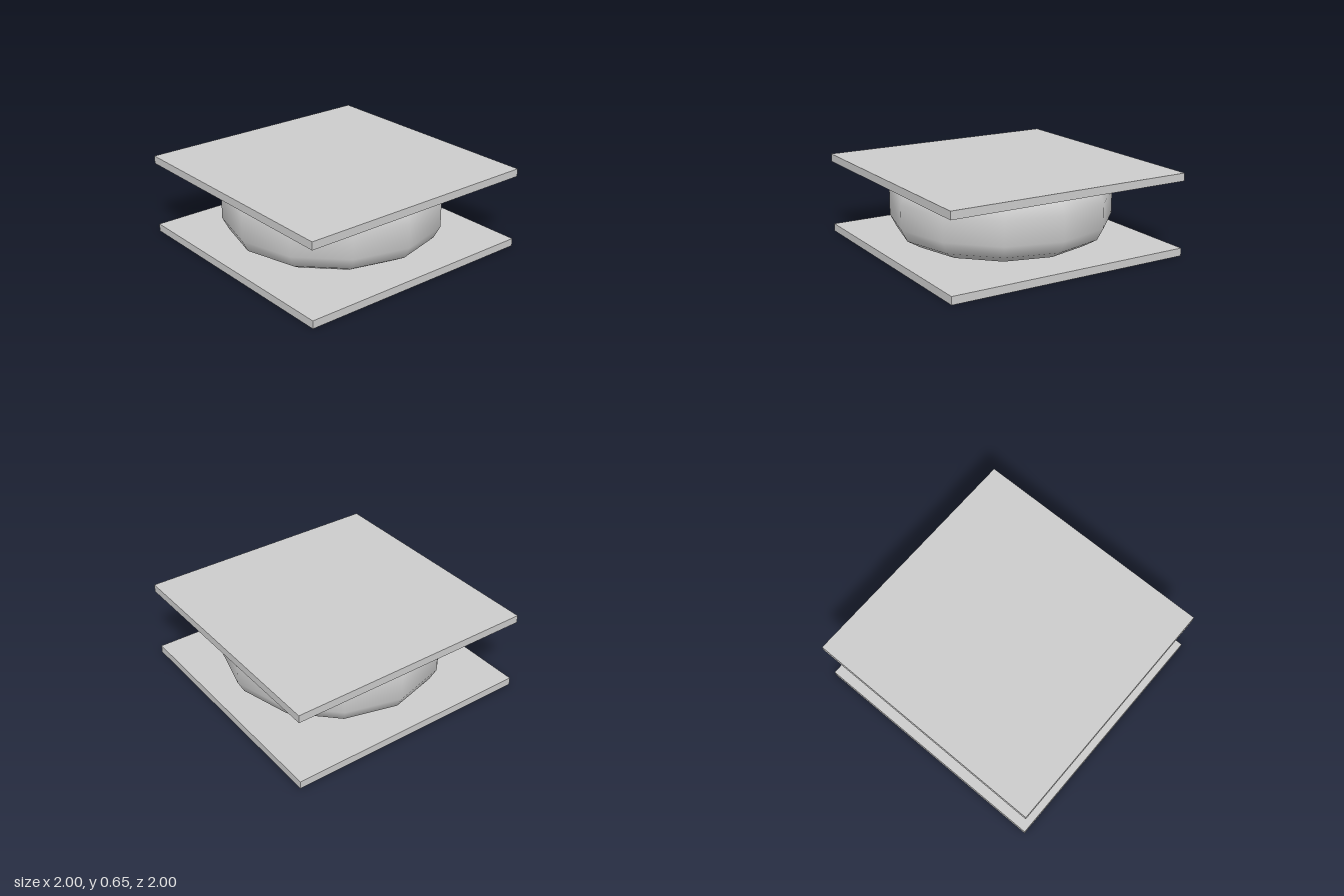
import * as THREE from 'three';

export function createModel() {
  const group = new THREE.Group();
  const material = new THREE.MeshStandardMaterial({ color: 0xcccccc });

  // Two thin square plates
  const thickness = 0.062, height = 0.652;
  const plateGeometry = new THREE.BoxGeometry(2, thickness, 2);
  for (const [name, y] of [['bottomPlate', thickness / 2], ['topPlate', height - thickness / 2]]) {
    const plate = new THREE.Mesh(plateGeometry, material);
    plate.name = name;
    plate.position.y = y;
    group.add(plate);
  }

  // Twelve-sided bulging cushion, its profile mirrored about mid height
  const half = [[0, 0.285], [0.3, 0.285], [0.56, 0.278], [0.718, 0.256], [0.825, 0.193], [0.875, 0.096]];
  const profile = [
    ...half.map(([r, h]) => new THREE.Vector2(r, height / 2 + 0.014 - h)),
    ...half.slice().reverse().map(([r, h]) => new THREE.Vector2(r, height / 2 + 0.014 + h)),
  ];
  const cushion = new THREE.Mesh(new THREE.LatheGeometry(profile, 12), material);
  cushion.name = 'cushion';
  group.add(cushion);

  return group;
}
